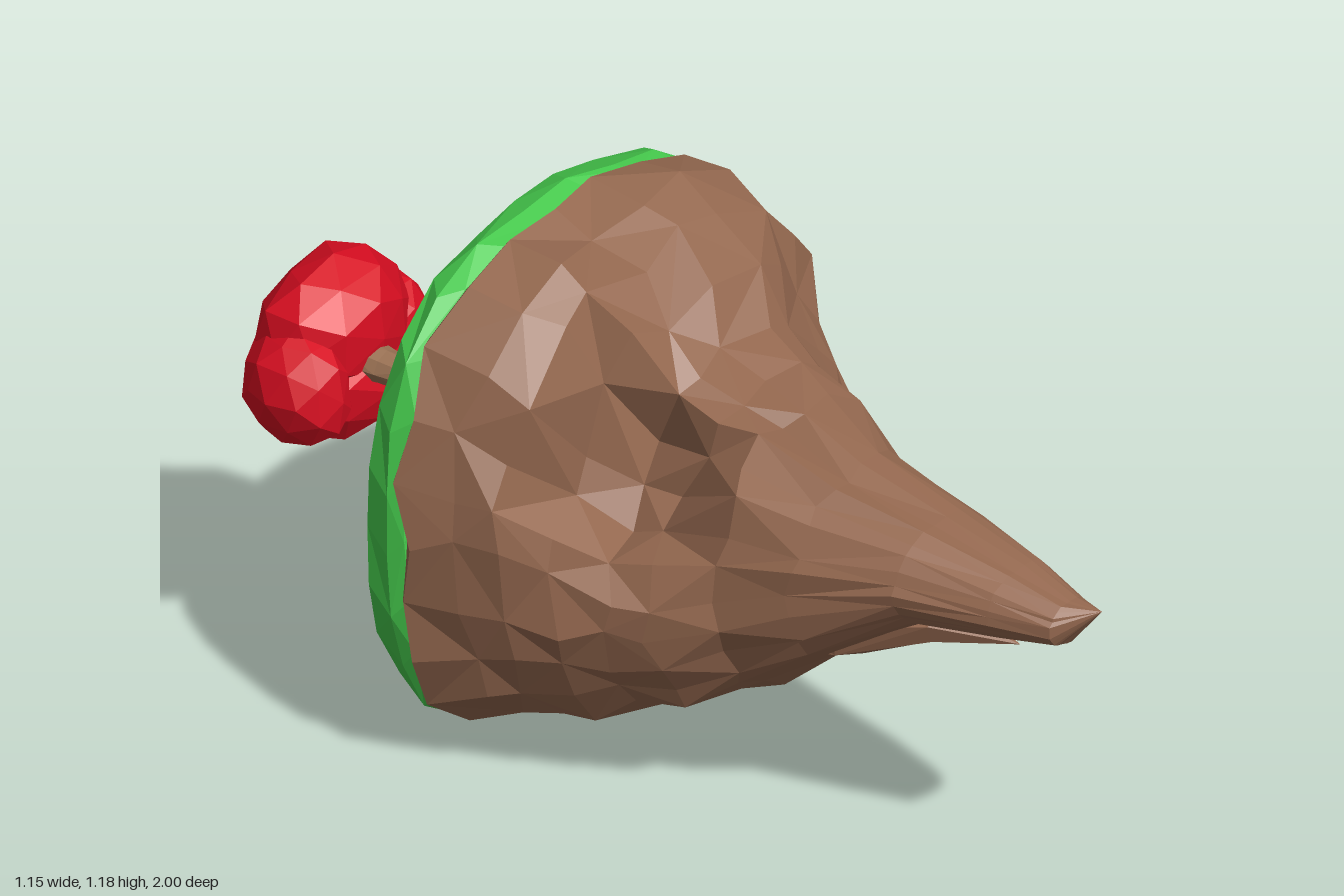
import * as THREE from 'three';

const SIDES = 26;
const mat = (color) => new THREE.MeshStandardMaterial({ color, flatShading: true, roughness: 1 });

// Repeatable noise in the range -1..1
function noise(a, b) {
  const s = Math.sin(a * 127.1 + b * 311.7) * 43758.5453;
  return (s - Math.floor(s)) * 2 - 1;
}

// Point on a rounded-square outline
function outline(angle, power) {
  const c = Math.cos(angle), s = Math.sin(angle);
  const r = Math.pow(Math.pow(Math.abs(c), power) + Math.pow(Math.abs(s), power), -1 / power);
  return [c * r, s * r];
}

// Skin over rings ordered by rising z; each ring runs counter-clockwise seen from +z
function loft(rings) {
  const n = rings[0].length, index = [];
  for (let i = 0; i < rings.length - 1; i++) {
    for (let j = 0; j < n; j++) {
      const k = (j + 1) % n;
      const a = i * n + j, b = i * n + k, c = a + n, d = b + n;
      if ((i + j) % 2) index.push(a, b, d, a, d, c);
      else index.push(a, b, c, b, d, c);
    }
  }
  const geo = new THREE.BufferGeometry();
  geo.setAttribute('position', new THREE.Float32BufferAttribute(rings.flat(2), 3));
  geo.setIndex(index);
  geo.computeVertexNormals();
  return geo;
}

function add(parent, name, geo, material) {
  const mesh = new THREE.Mesh(geo, material);
  mesh.name = name;
  parent.add(mesh);
  return mesh;
}

// Tapering rock with ridges along its length and a scooped hollow on one flank
function rockGeometry() {
  // z, min x, max x, min y, max y, squareness
  const sections = [
    [-0.48, -0.48, 0.48, 0.10, 1.08, 2.8],
    [-0.41, -0.57, 0.57, 0.01, 1.175, 2.8],
    [-0.30, -0.56, 0.565, 0.04, 1.16, 2.7],
    [-0.20, -0.53, 0.55, 0.07, 1.13, 2.6],
    [-0.10, -0.48, 0.46, 0.10, 1.05, 2.5],
    [0.00, -0.44, 0.37, 0.155, 0.97, 2.4],
    [0.10, -0.40, 0.31, 0.20, 0.92, 2.3],
    [0.20, -0.33, 0.25, 0.27, 0.89, 2.2],
    [0.38, -0.29, 0.17, 0.41, 0.845, 2.1],
    [0.60, -0.22, 0.11, 0.57, 0.80, 2],
    [0.80, -0.155, 0.065, 0.60, 0.755, 2],
    [0.93, -0.11, 0.025, 0.62, 0.72, 2],
    [1.00, -0.02, -0.02, 0.71, 0.71, 2],
  ];
  const hollow = new THREE.Vector3(-0.33, 0.83, -0.03);
  return loft(sections.map(([z, x0, x1, y0, y1, power], i) => {
    const ring = [];
    for (let j = 0; j < SIDES; j++) {
      const angle = (j / SIDES) * Math.PI * 2 + (i > 1 ? noise(i, j) * 0.06 : 0);
      const [u, v] = outline(angle, power);
      const ridge = i < 2 ? 1 + 0.012 * noise(j, 3) : 0.97 + 0.05 * noise(j, 7) + 0.03 * noise(j, i);
      const p = new THREE.Vector3(
        (x0 + x1) / 2 + u * ridge * (x1 - x0) / 2,
        (y0 + y1) / 2 + v * ridge * (y1 - y0) / 2,
        z + (i === 1 ? 0.025 * noise(j, 9) : i < 9 ? 0.025 * noise(j, i + 20) : 0));
      const dig = Math.max(0, 1 - p.distanceTo(hollow) / 0.24);
      p.add(new THREE.Vector3(0.15, -0.15, -0.08).multiplyScalar(Math.min(1, dig * 1.6)));
      ring.push(p.toArray());
    }
    return ring;
  }));
}

// Grass slab with a rounded rim and a gently uneven face
function grassGeometry() {
  // z, scale of the outline
  const sections = [[-0.562, 0], [-0.565, 0.3], [-0.562, 0.58], [-0.553, 0.8],
    [-0.515, 0.95], [-0.455, 0.995], [-0.415, 0.97], [-0.40, 0.85]];
  return loft(sections.map(([z, scale], i) => {
    const ring = [];
    for (let j = 0; j < SIDES; j++) {
      const [u, v] = outline(((j + (i % 2) * 0.3) / SIDES) * Math.PI * 2, 2.7);
      const r = scale * (1 + 0.018 * noise(j, i + 40));
      ring.push([u * r * 0.575, 0.592 + v * r * 0.583, z + (i ? 0.012 * noise(j, i + 60) : 0)]);
    }
    return ring;
  }));
}

// Faceted leaf clump
function clumpGeometry(seed) {
  const geo = new THREE.IcosahedronGeometry(1, 1);
  const p = geo.attributes.position, v = new THREE.Vector3();
  for (let i = 0; i < p.count; i++) {
    v.fromBufferAttribute(p, i);
    const h = noise(Math.round(v.x * 50) + seed, Math.round(v.y * 50) + Math.round(v.z * 50) * 0.37);
    v.multiplyScalar(1 + 0.06 * h);
    p.setXYZ(i, v.x, v.y, v.z);
  }
  geo.computeVertexNormals();
  return geo;
}

export function createModel() {
  const model = new THREE.Group();
  model.name = 'floatingIsland';
  const brown = mat(0x94684f), green = mat(0x45c94c), red = mat(0xd60d20), bark = mat(0x9c7355);

  add(model, 'rock', rockGeometry(), brown);

  // Smaller spike below the main tip
  const spike = [[0.15, 0.0, 0.47, 0.18, 0.17], [0.38, -0.02, 0.47, 0.13, 0.085],
    [0.58, 0.0, 0.53, 0.075, 0.05], [0.75, 0.02, 0.52, 0, 0]];
  add(model, 'lowerSpike', loft(spike.map(([z, x, y, rx, ry], i) =>
    Array.from({ length: 7 }, (_, j) => {
      const a = (j / 7) * Math.PI * 2 + i * 0.12;
      return [x + rx * Math.cos(a), y + ry * Math.sin(a), z];
    }))), brown);

  add(model, 'grass', grassGeometry(), green);

  // Tree growing out of the grass toward -z
  const tree = new THREE.Group();
  tree.name = 'tree';
  model.add(tree);
  const trunk = [[-0.80, 0.055], [-0.71, 0.045], [-0.64, 0.038], [-0.58, 0.046], [-0.53, 0.058]];
  add(tree, 'trunk', loft(trunk.map(([z, r], i) =>
    Array.from({ length: 8 }, (_, j) => {
      const a = (j / 8) * Math.PI * 2, q = r * (1 + 0.1 * noise(i, j));
      return [-0.25 + q * Math.cos(a), 0.765 + q * 0.85 * Math.sin(a), z];
    }))), bark);

  // Leaf clumps: centre, then radii
  const clumps = [
    ['upperLeaves', -0.24, 0.82, -0.86, 0.20, 0.15, 0.14],
    ['lowerLeaves', -0.24, 0.70, -0.85, 0.20, 0.135, 0.14],
    ['leftLeaves', -0.09, 0.74, -0.865, 0.12, 0.13, 0.115],
    ['rightLeaves', -0.39, 0.74, -0.835, 0.10, 0.14, 0.125],
  ];
  clumps.forEach(([name, x, y, z, rx, ry, rz], i) => {
    const mesh = add(tree, name, clumpGeometry(i * 13 + 1), red);
    mesh.position.set(x, y, z);
    mesh.scale.set(rx, ry, rz);
  });

  return model;
}
